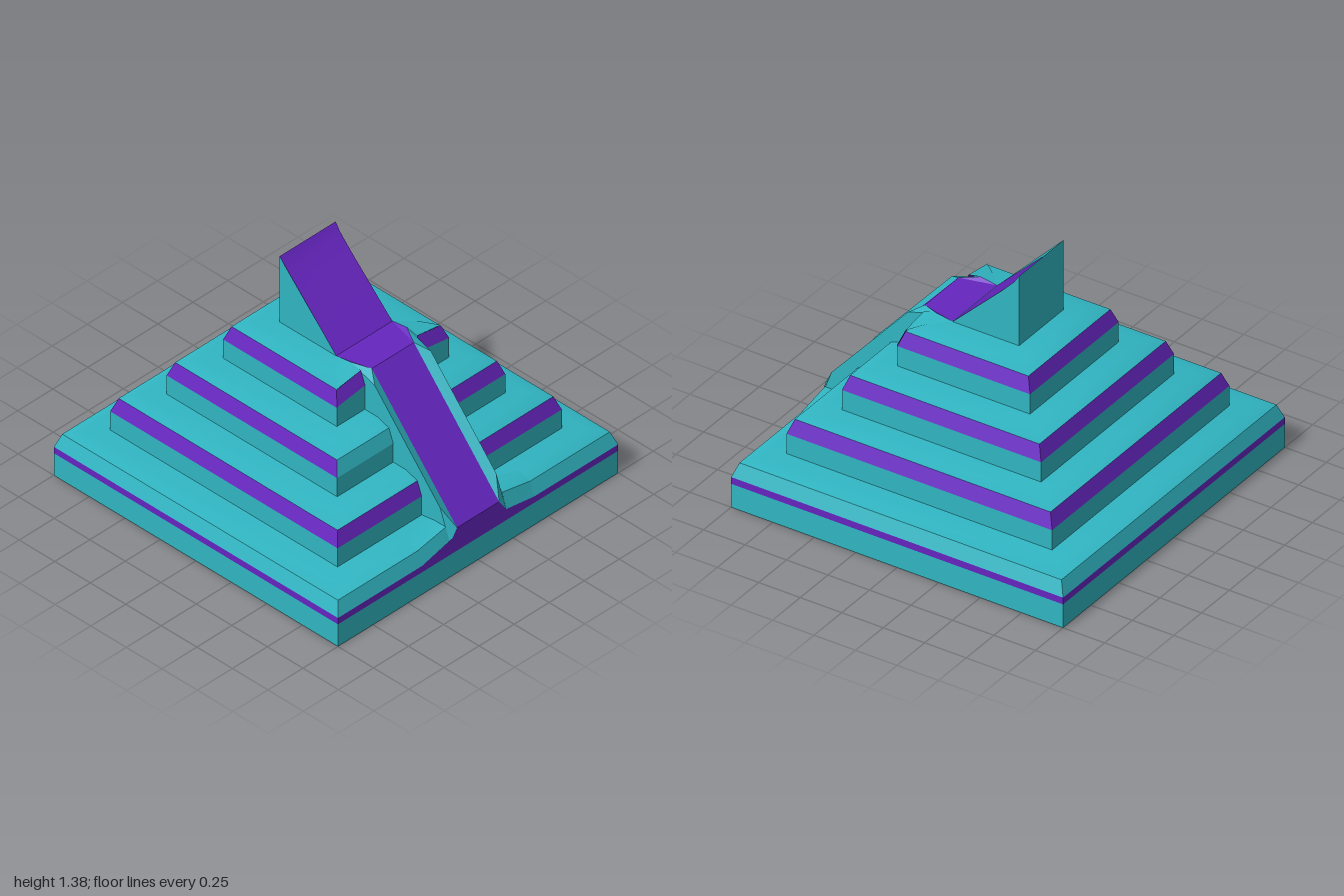
import * as THREE from 'three';
import { toCreasedNormals } from 'three/addons/utils/BufferGeometryUtils.js';

const teal = new THREE.MeshStandardMaterial({ name: 'teal', color: 0x30b5c2, side: THREE.DoubleSide });
const purple = new THREE.MeshStandardMaterial({ name: 'purple', color: 0x6625c0, side: THREE.DoubleSide });

// Mesh from a list of polygons, each fanned from its first corner.
function faces(name, material, polygons) {
  const positions = [];
  for (const p of polygons) {
    for (let i = 1; i < p.length - 1; i++) positions.push(...p[0], ...p[i], ...p[i + 1]);
  }
  const geometry = new THREE.BufferGeometry();
  geometry.setAttribute('position', new THREE.Float32BufferAttribute(positions, 3));
  const mesh = new THREE.Mesh(toCreasedNormals(geometry, 0.5), material);
  mesh.name = name;
  return mesh;
}

// Adds the x-mirrored copy of each polygon, keeping the outward winding.
const mirrored = (polygons) => [
  ...polygons,
  ...polygons.map((p) => p.map(([x, y, z]) => [-x, y, z]).reverse()),
];

const ring = (h, y) => [[-h, y, h], [h, y, h], [h, y, -h], [-h, y, -h]];

// Four sides of a square band from half-width h0 at y0 to h1 at y1; front first.
function band(h0, y0, h1, y1) {
  const a = ring(h0, y0), b = ring(h1, y1);
  return a.map((p, i) => [p, a[(i + 1) % 4], b[(i + 1) % 4], b[i]]);
}

export function createModel() {
  const model = new THREE.Group();
  model.name = 'steppedPyramid';

  // Base slab with a thin inlaid stripe
  model.add(
    faces('baseSlab', teal, [...band(1, 0, 1, 0.14), ring(1, 0).reverse()]),
    faces('baseStripe', purple, band(1, 0.14, 1, 0.18)),
    faces('baseRim', teal, band(1, 0.18, 0.97, 0.26)),
    faces('baseTop', teal, [...band(0.97, 0.26, 0.89, 0.285), ring(0.89, 0.285)]),
  );

  // Upper tiers with bevelled rims
  for (let i = 0; i < 3; i++) {
    const h = 0.8 - 0.2 * i;
    const y = 0.285 + 0.226 * i;
    const rim = band(h, y + 0.118, h - 0.03, y + 0.2);
    const tier = new THREE.Group();
    tier.name = 'tier' + (i + 2);
    tier.add(
      faces('tierWall', teal, band(h, y, h, y + 0.118)),
      faces('tierTop', teal, [...band(h - 0.03, y + 0.2, h - 0.11, y + 0.226), ring(h - 0.11, y + 0.226)]),
    );
    if (i === 1) {
      // The middle tier has a plain rim on the front right
      const [a, b, c, d] = rim.shift();
      const low = [0, a[1], a[2]], high = [0, c[1], c[2]];
      tier.add(faces('plainRim', teal, [[a, low, high, d]]));
      rim.push([low, b, c, high]);
    }
    tier.add(faces('tierRim', purple, rim));
    model.add(tier);
  }

  // Ramp with raised curbs
  const A = [0.2, 0.21, 1], B = [0.15, 0.285, 1], C = [0.2, 0.4, 0.93];
  const D = [0.2, 0.925, 0.47], E = [0.15, 0.967, 0.4], G = [0.2, 0.982, 0.3];
  model.add(
    faces('rampCurbs', teal, mirrored([
      [[0.2, 0.2, 0.3], G, D, C, A],
      [A, C, B],
      [B, C, D, E],
      [E, D, G],
    ])),
    faces('rampSurface', purple, [[[-0.15, 0.285, 1], B, E, [-0.15, 0.967, 0.4]]]),
    faces('rampFoot', purple, mirrored([[[0, 0.18, 1], [0.4, 0.18, 1], A, B, [0, 0.285, 1]]])),
  );

  // Landing at the top of the ramp
  model.add(faces('landing', purple, [
    [[-0.15, 0.967, 0.4], E, [0.2, 0.967, 0.2], [-0.2, 0.967, 0.2]],
    ...mirrored([[E, G, [0.2, 0.967, 0.2]]]),
  ]));

  // Soft shoulders where the ramp meets the base and the top tier
  model.add(
    faces('baseShoulders', teal, mirrored([
      [A, [0.4, 0.18, 1], [0.4, 0.262, 0.971], [0.2, 0.3, 0.97]],
      [[0.2, 0.3, 0.97], [0.4, 0.262, 0.971], [0.4, 0.287, 0.89], [0.2, 0.3, 0.89]],
      [[0.2, 0.3, 0.89], [0.4, 0.287, 0.89], [0.2, 0.286, 0.8]],
    ])),
    faces('topShoulderRims', purple, mirrored([
      [[0.2, 0.89, 0.402], [0.4, 0.86, 0.402], [0.37, 0.94, 0.372], [0.2, 0.967, 0.372]],
    ])),
    faces('topShoulderWalls', teal, mirrored([
      [[0.2, 0.85, 0.402], [0.4, 0.85, 0.402], [0.4, 0.86, 0.402], [0.2, 0.89, 0.402]],
    ])),
    faces('topShoulders', teal, mirrored([
      [[0.2, 0.967, 0.372], [0.37, 0.942, 0.372], [0.29, 0.967, 0.29], G],
      [G, [0.29, 0.967, 0.29], [0.2, 0.967, 0.2]],
    ])),
  );

  // Sloping crest with a slight upward sweep
  const slope = [[0.2, 0.965], [-0.1, 1.26], [-0.17, 1.335], [-0.2, 1.38]];
  const at = (x, [z, y]) => [x, y, z];
  const foot = [-0.2, 0.965];
  model.add(
    faces('crestSides', teal, mirrored([
      [foot, slope[3], slope[2], slope[1], slope[0]].map((p) => at(0.2, p)),
    ])),
    faces('crestBack', teal, [[at(0.2, foot), at(-0.2, foot), at(-0.2, slope[3]), at(0.2, slope[3])]]),
    faces('crestSlope', purple, slope.slice(1).map((p, i) => [
      at(-0.2, slope[i]), at(0.2, slope[i]), at(0.2, p), at(-0.2, p),
    ])),
  );
  return model;
}
